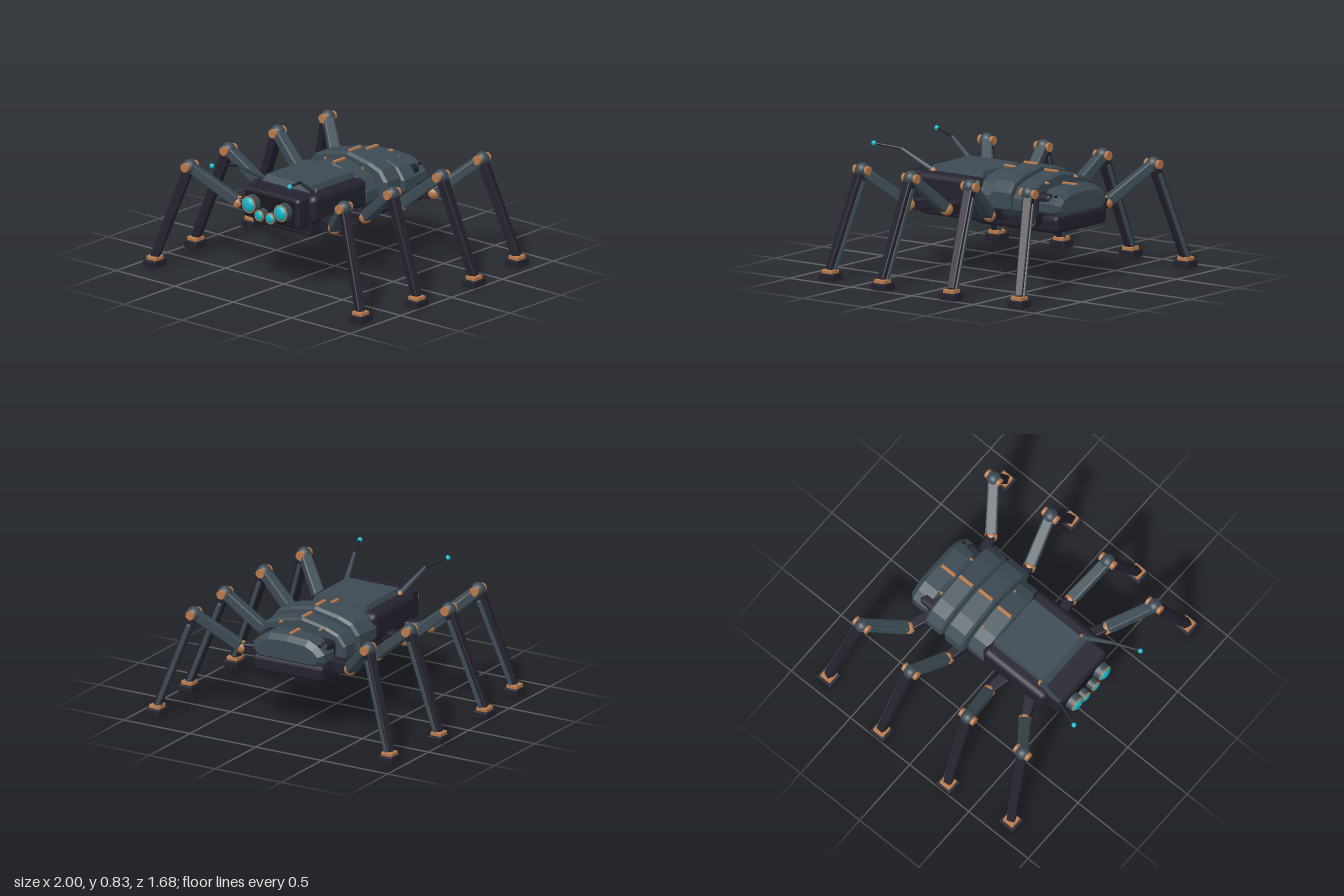
import * as THREE from 'three';
import { RoundedBoxGeometry } from 'three/addons/geometries/RoundedBoxGeometry.js';

const make = (name, color) => {
  const m = new THREE.MeshStandardMaterial({ color });
  m.name = name;
  return m;
};

export function createModel() {
  const dark = make('dark hull', 0x23222e);
  const slate = make('slate armour', 0x3c4a53);
  const copper = make('copper fittings', 0xb87a4c);
  const cyan = make('cyan lens', 0x14b4c6);
  const black = make('black recess', 0x17171f);

  const root = new THREE.Group();
  root.name = 'mechanicalSpider';
  const V = (x, y, z) => new THREE.Vector3(x, y, z);

  function add(parent, name, geo, mat, x = 0, y = 0, z = 0) {
    const m = new THREE.Mesh(geo, mat);
    m.name = name;
    m.position.set(x, y, z);
    parent.add(m);
    return m;
  }
  // Rounded box given by its limits
  function block(parent, name, mat, x0, x1, y0, y1, z0, z1, r = 0.01, seg = 1) {
    const g = new RoundedBoxGeometry(x1 - x0, y1 - y0, z1 - z0, seg, r);
    return add(parent, name, g, mat, (x0 + x1) / 2, (y0 + y1) / 2, (z0 + z1) / 2);
  }
  // Tapered beam from a to b: [in-plane width, sideways depth] at each end
  function beam(parent, name, mat, a, b, s0, s1, r = 0.01) {
    const dir = b.clone().sub(a), len = dir.length();
    const g = new RoundedBoxGeometry(1, 1, 1, 1, 0.15);
    const p = g.attributes.position;
    for (let i = 0; i < p.count; i++) {
      const t = p.getY(i) + 0.5;
      p.setXYZ(i, p.getX(i) * (s0[0] + (s1[0] - s0[0]) * t), (t - 0.5) * len,
        p.getZ(i) * (s0[1] + (s1[1] - s0[1]) * t));
    }
    // end chamfers stay short
    for (let i = 0; i < p.count; i++) {
      const y = p.getY(i), s = Math.sign(y);
      if (Math.abs(y) < len * 0.49) p.setY(i, s * (len / 2 - r));
    }
    g.computeVertexNormals();
    const Y = dir.normalize();
    const Z = V(Y.x, 0, Y.z).normalize().cross(V(0, 1, 0)).normalize();
    const X = Y.clone().cross(Z);
    const m = add(parent, name, g, mat);
    m.quaternion.setFromRotationMatrix(new THREE.Matrix4().makeBasis(X, Y, Z));
    m.position.copy(a).add(b).multiplyScalar(0.5);
    return m;
  }
  // Round rod from a to b
  function rod(parent, name, mat, a, b, r0, r1, sides = 10) {
    const d = b.clone().sub(a);
    const m = add(parent, name, new THREE.CylinderGeometry(r1, r0, d.length(), sides), mat);
    m.quaternion.setFromUnitVectors(V(0, 1, 0), d.normalize());
    m.position.copy(a).add(b).multiplyScalar(0.5);
    return m;
  }

  // Hull
  const body = new THREE.Group();
  body.name = 'body';
  root.add(body);
  block(body, 'abdomenBase', dark, -0.27, 0.27, 0.36, 0.48, -0.62, 0.06, 0.035);
  block(body, 'abdomenCore', dark, -0.26, 0.26, 0.42, 0.61, -0.55, 0.04, 0.03);
  block(body, 'thoraxBase', dark, -0.25, 0.25, 0.37, 0.5, 0, 0.53, 0.025);
  block(body, 'thorax', dark, -0.29, 0.29, 0.46, 0.655, 0, 0.53, 0.045, 2);
  block(body, 'head', dark, -0.24, 0.24, 0.44, 0.65, 0.48, 0.63, 0.03, 2);
  block(body, 'facePanel', black, -0.205, 0.205, 0.46, 0.635, 0.6, 0.64, 0.008);
  block(body, 'neckCollar', slate, -0.2, 0.2, 0.43, 0.47, 0.5, 0.6, 0.012);

  // Thorax back plate, narrowing upwards
  const plate = new THREE.BoxGeometry(0.42, 0.06, 0.47);
  const pp = plate.attributes.position;
  for (let i = 0; i < pp.count; i++) if (pp.getY(i) > 0) {
    pp.setX(i, pp.getX(i) * 0.92);
    pp.setZ(i, pp.getZ(i) > 0 ? 0.18 : -0.225);
  }
  plate.computeVertexNormals();
  add(body, 'backPlate', plate, slate, 0, 0.663, 0.265);

  // Overlapping abdomen shells: half width, top, front z, rear z, bevel
  const shells = [
    [0.29, 0.705, 0.03, -0.115, 0.012],
    [0.335, 0.745, -0.12, -0.28, 0.018],
    [0.33, 0.715, -0.295, -0.438, 0.015],
    [0.27, 0.645, -0.44, -0.625, 0.035],
  ];
  shells.forEach(([w, top, z0, z1, b], i) => {
    const half = [[w - 0.05, 0.45], [w, 0.5], [w, top - 0.14 + (i === 3 ? 0.05 : 0)],
      [w - 0.055, top - (i === 3 ? 0.04 : 0.07)], [w * 0.55, top - (i === 3 ? 0.01 : 0.035)]];
    const pts = [...half, [0, top], ...half.slice().reverse().map(([x, y]) => [-x, y])];
    const shape = new THREE.Shape(pts.map(([x, y]) => new THREE.Vector2(x, y)));
    const g = new THREE.ExtrudeGeometry(shape, { depth: z0 - z1 - 2 * b, bevelEnabled: true,
      bevelThickness: b, bevelSize: b, bevelOffset: -b, bevelSegments: 1 });
    add(body, 'abdomenShell' + (i + 1), g, slate, 0, 0, z1 + b);
    const zc = (z0 + z1) / 2 + (i === 3 ? 0.017 : 0);
    block(body, 'ridgeStripe' + (i + 1), copper, -0.011, 0.011, top - 0.02, top + 0.01,
      zc - 0.055, zc + 0.055, 0.003);
  });

  for (const s of [-1, 1]) {
    // Vents and studs on the abdomen
    for (const z of [-0.575, -0.535, -0.49]) {
      const v = add(body, 'vent', new THREE.BoxGeometry(0.018, 0.009, 0.018), black, s * 0.222, 0.601, z);
      v.rotation.z = -s * 0.35;
    }
    rod(body, 'rearStud', copper, V(s * 0.15, 0.665, -0.43), V(s * 0.15, 0.665, -0.465), 0.012, 0.005, 6);
    rod(body, 'frontStud', copper, V(s * 0.16, 0.64, -0.09), V(s * 0.16, 0.683, -0.09), 0.012, 0.007, 6);

    // Eyes
    for (const [x, y, r, name] of [[0.137, 0.555, 0.05, 'outerEye'], [0.047, 0.5, 0.033, 'innerEye']]) {
      const eye = new THREE.Group();
      eye.name = name;
      eye.position.set(s * x, y, 0);
      body.add(eye);
      rod(eye, 'housing', slate, V(0, 0, 0.62), V(0, 0, 0.69), r * 1.25, r * 1.1, 20);
      add(eye, 'ring', new THREE.TorusGeometry(r * 1.05, 0.005, 6, 24), copper, 0, 0, 0.69);
      const lens = add(eye, 'lens', new THREE.SphereGeometry(r, 20, 12), cyan, 0, 0, 0.688);
      lens.scale.z = 0.5;
    }

    // Antennae
    const a = V(s * 0.205, 0.655, 0.44), e = V(s * 0.268, 0.785, 0.65), t = V(s * 0.333, 0.81, 0.825);
    add(body, 'antennaSocket', new THREE.SphereGeometry(0.022, 12, 8), copper, a.x, a.y, a.z);
    rod(body, 'antennaBase', slate, a, e, 0.018, 0.011);
    rod(body, 'antennaWhip', dark, e, t, 0.01, 0.006);
    add(body, 'antennaTip', new THREE.SphereGeometry(0.017, 14, 10), cyan, t.x, t.y, t.z);
  }

  // Legs: z of the hip, then [x, z] of elbow, knee and foot
  const legs = [
    ['frontLeg', 0.38, [0.41, 0.475], [0.66, 0.668], [0.88, 0.758]],
    ['secondLeg', 0.2, [0.41, 0.172], [0.7, 0.24], [0.946, 0.28]],
    ['thirdLeg', -0.15, [0.41, -0.177], [0.7, -0.243], [0.946, -0.282]],
    ['rearLeg', -0.44, [0.41, -0.502], [0.66, -0.69], [0.88, -0.783]],
  ];
  for (const s of [-1, 1]) for (const [name, hz, el, kn, ft] of legs) {
    const leg = new THREE.Group();
    leg.name = (s > 0 ? 'left ' : 'right ') + name;
    root.add(leg);
    const hip = V(s * 0.22, 0.455, hz), elbow = V(s * el[0], 0.462, el[1]);
    const knee = V(s * kn[0], 0.7, kn[1]), foot = V(s * ft[0], 0.06, ft[1]);
    beam(leg, 'hip', dark, hip, elbow, [0.1, 0.1], [0.065, 0.06]);
    add(leg, 'elbowJoint', new THREE.SphereGeometry(0.043, 16, 12), copper, elbow.x, elbow.y, elbow.z);
    beam(leg, 'upperLeg', slate, elbow.clone().lerp(knee, 0.05), knee, [0.075, 0.08], [0.065, 0.07]);
    add(leg, 'kneeJoint', new THREE.SphereGeometry(0.048, 16, 12), slate, knee.x, knee.y, knee.z);
    rod(leg, 'kneePin', copper, knee.clone().add(V(0, 0, -0.058)), knee.clone().add(V(0, 0, 0.058)), 0.03, 0.03, 16);
    beam(leg, 'lowerLeg', dark, knee, foot, [0.066, 0.07], [0.056, 0.052]);
    const off = V(-s * 0.008, 0, -0.026);
    beam(leg, 'shinStrip', slate, knee.clone().lerp(foot, 0.1).add(off), foot.clone().add(off),
      [0.03, 0.035], [0.025, 0.025]);
    block(leg, 'ankle', copper, foot.x - 0.04, foot.x + 0.04, 0.04, 0.07, ft[1] - 0.042, ft[1] + 0.042, 0.006);
    block(leg, 'footPad', dark, foot.x - 0.053, foot.x + 0.053, 0, 0.046, ft[1] - 0.06, ft[1] + 0.06, 0.006);
  }
  return root;
}
